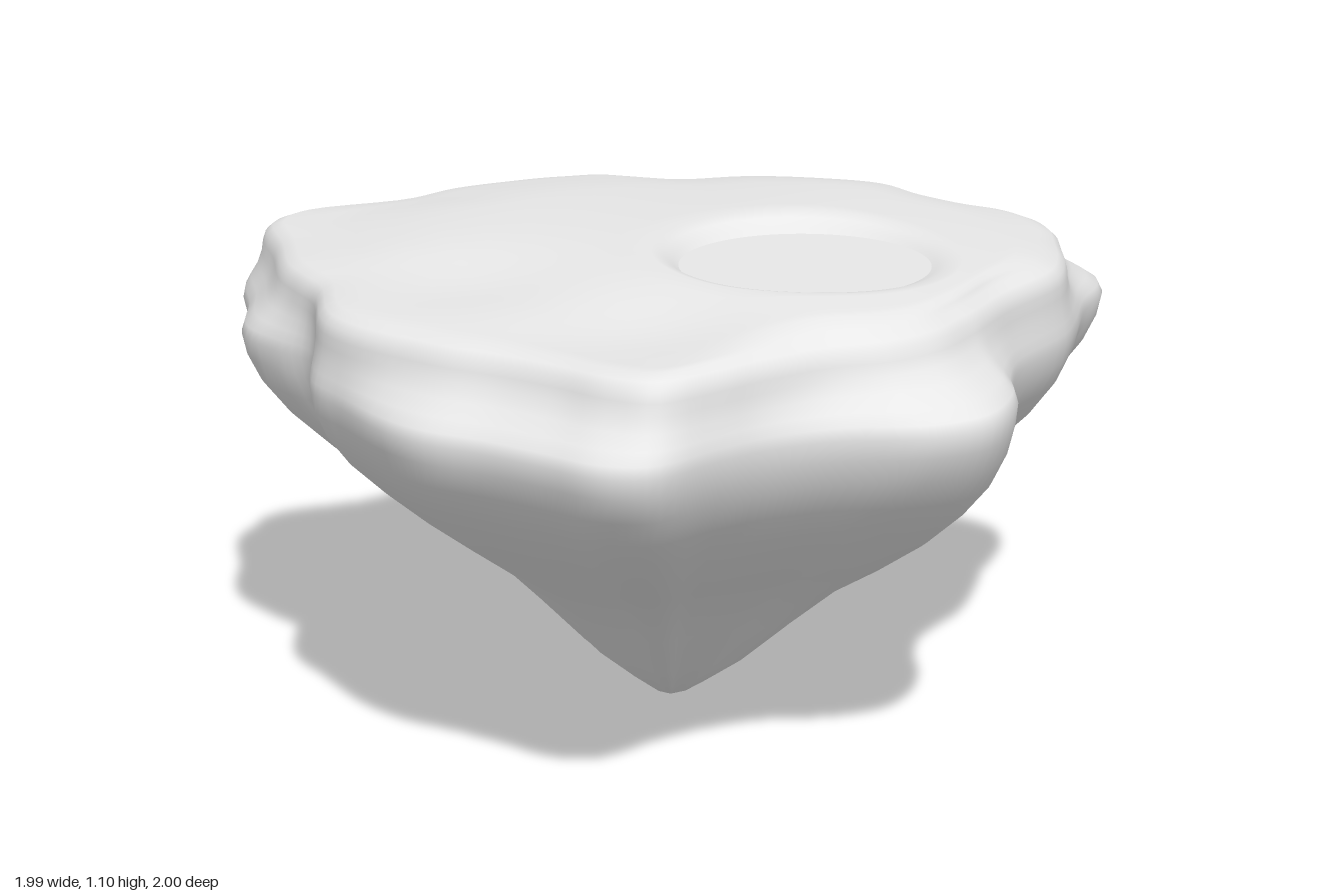
import * as THREE from 'three';

const TIP_X = -0.08;
const POND = { x: 0.17, z: 0.21, r: 0.28, y: 1.055 };
const SEGMENTS = 180;

// widest outline of the island: x, z, and how far the top rim is drawn in
const OUTLINE = [
  [-0.16, -1.0, 0.86], [-0.07, -0.99, 0.87], [0.02, -0.9, 0.91], [0.12, -0.77, 0.98],
  [0.3, -0.77, 0.97], [0.5, -0.69, 0.96], [0.64, -0.59, 0.97], [0.71, -0.46, 0.95],
  [0.83, -0.37, 0.9], [0.95, -0.28, 0.87], [0.99, -0.19, 0.865], [0.97, -0.09, 0.885],
  [0.88, 0.04, 0.94], [0.81, 0.18, 0.97], [0.74, 0.3, 0.98], [0.58, 0.46, 0.97],
  [0.52, 0.58, 0.93], [0.49, 0.7, 0.87], [0.39, 0.84, 0.84], [0.25, 0.88, 0.86],
  [0.08, 0.85, 0.91], [-0.08, 0.87, 0.95], [-0.2, 0.92, 0.96], [-0.35, 1.0, 0.93],
  [-0.45, 0.97, 0.9], [-0.54, 0.87, 0.89], [-0.64, 0.76, 0.89], [-0.75, 0.66, 0.89],
  [-0.81, 0.56, 0.91], [-0.87, 0.38, 0.97], [-0.91, 0.26, 0.97], [-0.88, 0.04, 0.99],
  [-0.95, -0.08, 0.94], [-1.0, -0.2, 0.91], [-0.97, -0.4, 0.93], [-0.95, -0.6, 0.95],
  [-0.87, -0.68, 0.96], [-0.6, -0.73, 0.97], [-0.46, -0.82, 0.97], [-0.28, -0.9, 0.94],
];

// underside: share of the outline reached at each height
const UNDERSIDE = [
  [0, 0], [0.05, 0.022], [0.11, 0.063], [0.21, 0.138], [0.34, 0.26], [0.46, 0.368], [0.58, 0.448],
  [0.7, 0.53], [0.81, 0.613], [0.9, 0.688], [0.96, 0.757], [0.99, 0.815], [1, 0.86],
];

// upper lip: blend from the outline to the rim, rim scale, height
const LIP = [
  [0.1, 1, 0.885], [0.35, 1, 0.908], [0.68, 1, 0.935], [0.9, 1, 0.965],
  [0.98, 1, 0.99], [1, 0.993, 1.012], [1, 0.975, 1.027], [1, 0.945, 1.038],
];

// gentle dome with two hollows
function groundHeight(x, z) {
  const hollow = (cx, cz) => Math.exp(-((x - cx) ** 2 + (z - cz) ** 2) / 0.05);
  return 1.097 - 0.065 * (x * x + z * z) - 0.025 * hollow(-0.6, 0.2) - 0.03 * hollow(-0.25, 0.62)
    + 0.006 * Math.sin(7 * x + 3 * z);
}

function loft(rings) {
  const n = rings[0].length, index = [];
  for (let i = 0; i < rings.length - 1; i++) {
    for (let j = 0; j < n; j++) {
      const k = (j + 1) % n;
      const a = i * n + j, b = i * n + k, c = a + n, d = b + n;
      index.push(a, c, b, b, c, d);
    }
  }
  const geometry = new THREE.BufferGeometry();
  geometry.setAttribute('position', new THREE.Float32BufferAttribute(rings.flat(2), 3));
  geometry.setIndex(index);
  geometry.computeVertexNormals();
  return geometry;
}

// halfway down the underside the outline evens out, apart from one ridge and the gully beside it
function swellAmounts(edge) {
  const radius = edge.map(p => Math.hypot(p.x - TIP_X, p.z));
  const reach = 15;
  return edge.map((p, j) => {
    let sum = 0;
    for (let k = -reach; k <= reach; k++) sum += radius[(j + k + SEGMENTS) % SEGMENTS];
    const lobe = radius[j] / (sum / (2 * reach + 1)) - 1;
    const angle = Math.atan2(p.z, p.x - TIP_X);
    const bump = (centre, width) => Math.exp(-(((angle - centre) / width) ** 2));
    return -lobe * (lobe < 0 ? 0.5 : 0.2) + 0.13 * bump(0.93, 0.2) - 0.07 * bump(0.5, 0.15);
  });
}

export function createModel() {
  const group = new THREE.Group();
  const stone = new THREE.MeshStandardMaterial({ color: 0xe7e7e7 });
  stone.name = 'pale grey';

  const curve = new THREE.CatmullRomCurve3(
    OUTLINE.map(([x, z, rim]) => new THREE.Vector3(x, rim, z)), true);
  const edge = curve.getPoints(SEGMENTS).slice(0, SEGMENTS);
  const scaled = (p, s, y) => [TIP_X + (p.x - TIP_X) * s, y, p.z * s];

  // underside, then the lip
  const swell = swellAmounts(edge);
  const rings = UNDERSIDE.map(([s, y]) =>
    edge.map((p, j) => scaled(p, s * (1 + swell[j] * 4 * s * (1 - s)), y)));
  for (const [blend, s, y] of LIP) {
    rings.push(edge.map(p => scaled(p, (1 + (p.y - 1) * blend) * s, y)));
  }

  // top ground, running from the rim in to the pond bank
  const rim = rings[rings.length - 1];
  const bankPoint = (p, r) => {
    const a = Math.atan2(p[2] - POND.z, p[0] - POND.x);
    return [POND.x + r * Math.cos(a), POND.z + r * Math.sin(a)];
  };
  for (const t of [0.08, 0.18, 0.3, 0.42, 0.54, 0.66, 0.78, 0.9, 1]) {
    rings.push(rim.map(p => {
      const [bx, bz] = bankPoint(p, 0.33);
      const x = THREE.MathUtils.lerp(p[0], bx, t), z = THREE.MathUtils.lerp(p[2], bz, t);
      const y = THREE.MathUtils.lerp(p[1], groundHeight(x, z), Math.min(1, 0.3 + t * 2.2));
      return [x, y, z];
    }));
  }

  // pond bank
  for (const [r, drop] of [[0.305, 0.3], [0.285, 0.75], [0.265, 1.15]]) {
    rings.push(rim.map(p => {
      const [x, z] = bankPoint(p, r);
      return [x, THREE.MathUtils.lerp(groundHeight(x, z), POND.y, drop), z];
    }));
  }
  const island = new THREE.Mesh(loft(rings), stone);
  island.name = 'islandRock';
  group.add(island);

  // flat pond surface
  const pond = new THREE.Mesh(new THREE.CircleGeometry(POND.r, 48).rotateX(-Math.PI / 2), stone);
  pond.position.set(POND.x, POND.y, POND.z);
  pond.name = 'pond';
  group.add(pond);

  return group;
}
